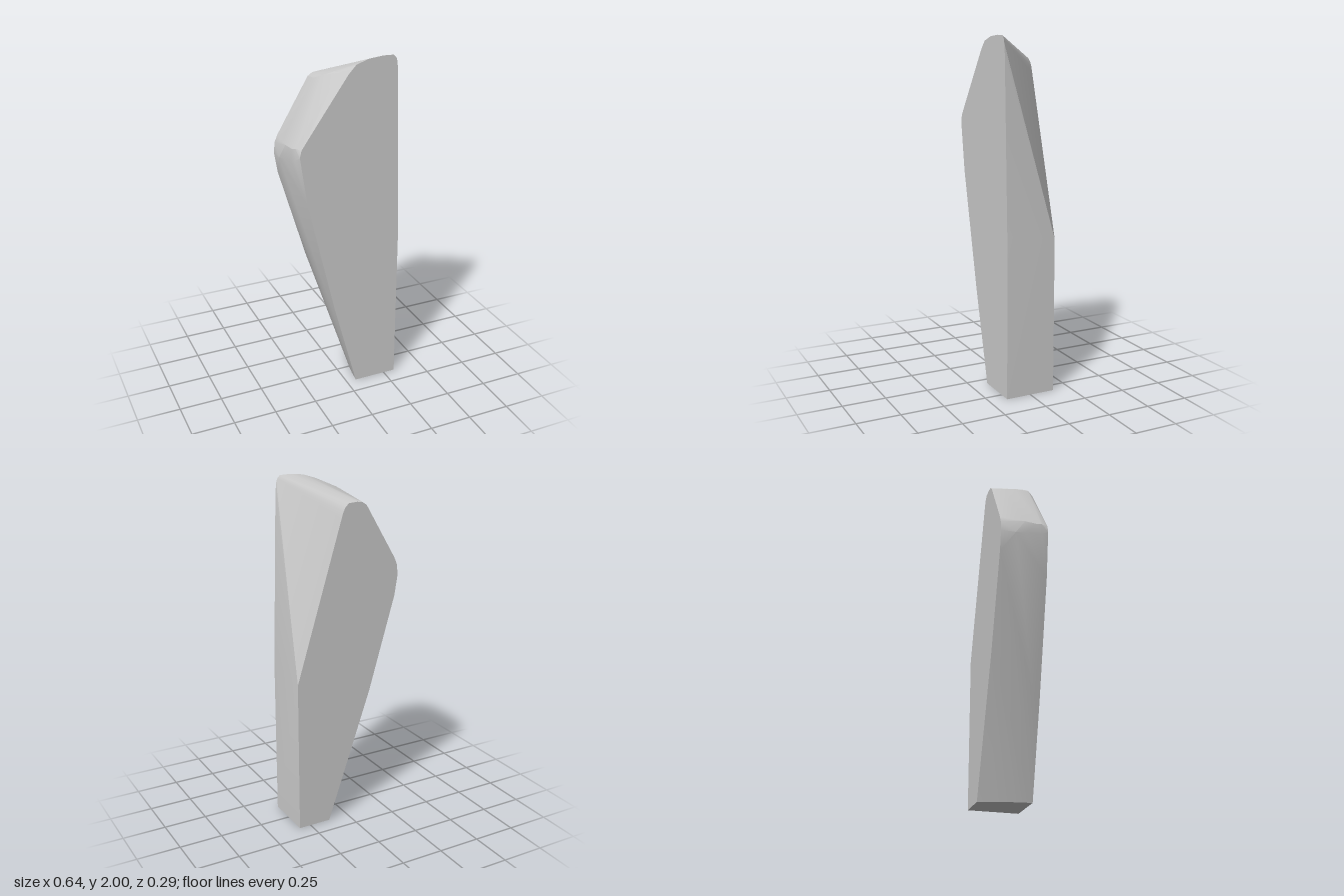
import * as THREE from 'three';
import { ConvexGeometry } from 'three/addons/geometries/ConvexGeometry.js';
import { toCreasedNormals } from 'three/addons/utils/BufferGeometryUtils.js';

const D = 0.147; // half depth

// Cross-sections [x, y], each at its own depth
const sections = [
  // front face, with a high rounded top
  { z: D, pts: [
    [0.32, 0], [0.32, 0.93], [0.29, 1.9], [0.284, 1.96], [0.278, 1.98], [0.262, 1.998],
    [0.2, 2], [0.12, 1.992], [0.045, 1.968], [0, 1.92], [-0.25, 1.57], [-0.27, 1.54],
    [-0.28, 1.5], [-0.24, 1.22], [-0.08, 0.53], [0.06, 0] ] },
  // rounding of the shoulder and the left edge between the faces
  { z: 0.105, pts: [[-0.042, 1.923], [-0.288, 1.54], [-0.293, 1.47], [-0.093, 0.56], [0.065, 0]] },
  { z: 0.07, pts: [[-0.045, 1.924], [-0.297, 1.53], [-0.3, 1.46], [-0.1, 0.6], [0.069, 0]] },
  { z: 0, pts: [[-0.085, 1.89], [-0.305, 1.53], [-0.312, 1.45], [-0.13, 0.73], [0.082, 0]] },
  { z: -0.06, pts: [[-0.11, 1.863], [-0.305, 1.53], [-0.32, 1.44], [-0.14, 0.76], [0.098, 0]] },
  // back face, with the top cut down on the right
  { z: -D, pts: [
    [0.32, 0], [0.32, 0.89], [0.045, 1.79], [0.034, 1.825], [0.02, 1.85], [0, 1.868],
    [-0.05, 1.872], [-0.085, 1.867], [-0.11, 1.85], [-0.295, 1.54], [-0.312, 1.5], [-0.319, 1.44],
    [-0.3, 1.32], [-0.14, 0.77], [0.125, 0] ] },
];

export function createModel() {
  const group = new THREE.Group();
  group.name = 'wedgeStone';

  // One convex block wrapped around all sections
  const points = sections.flatMap(({ z, pts }) =>
    pts.map(([x, y]) => new THREE.Vector3(x, y, z)));
  const geometry = toCreasedNormals(new ConvexGeometry(points), 0.35);

  const block = new THREE.Mesh(geometry, new THREE.MeshStandardMaterial({ color: 0xcccccc }));
  block.name = 'stoneBlock';
  group.add(block);
  return group;
}
